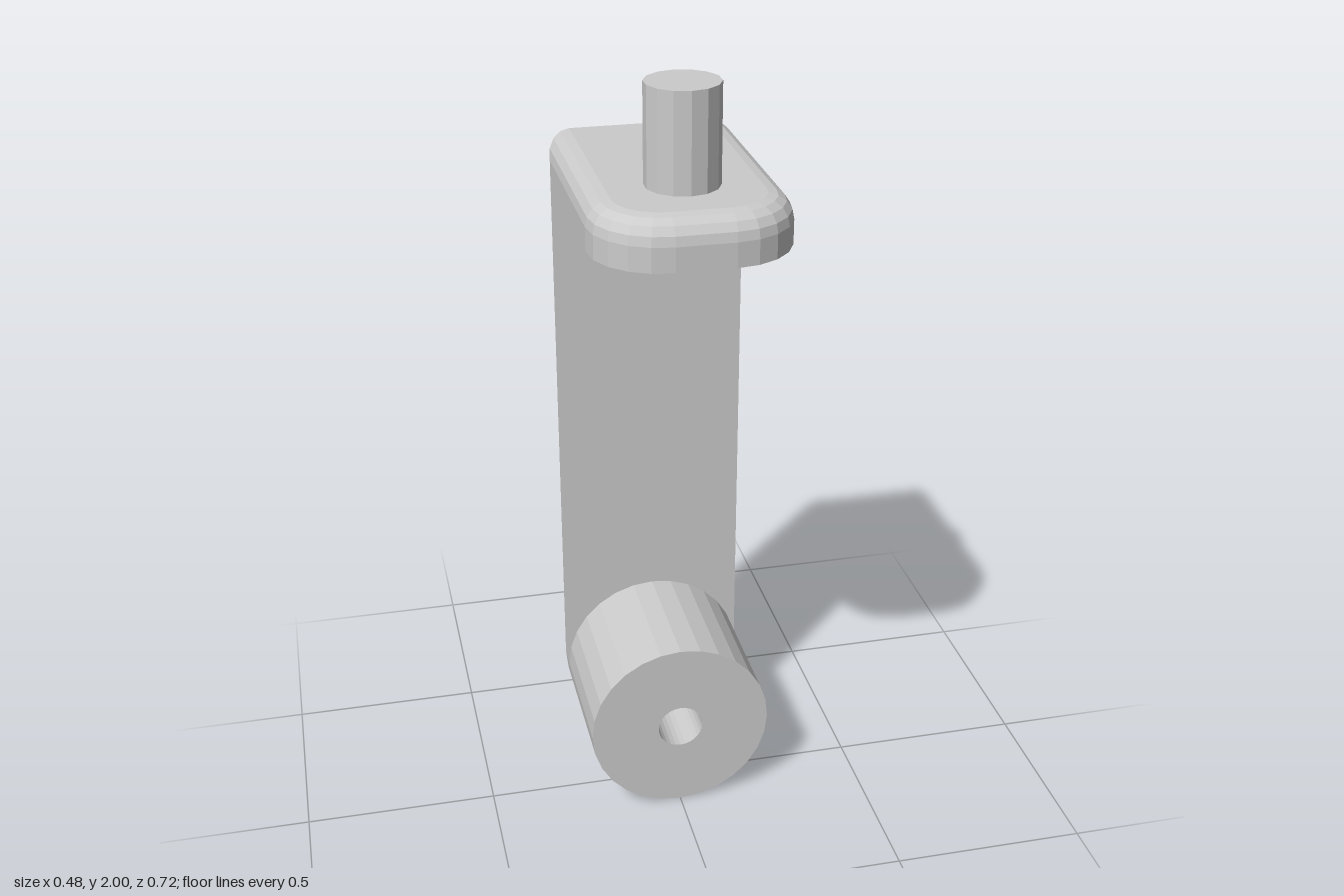
import * as THREE from 'three';

const HALF = 0.24, THICK = 0.12, FILLET = 0.06;
const INNER_Y = 1.64, INNER_Z = -0.24, BOSS_Y = 0.24, BORE = 0.06;

// Plate outline: open end at y = h (45 degree mitre), rounded corners at y = -length
function outline(length, radius, steps, h, inset) {
  const w = HALF - inset, r = radius - inset, l = length - inset;
  const pts = [new THREE.Vector2(-w, h)];
  for (const side of [-1, 1]) {
    const first = side === 1 && radius === HALF ? 1 : 0;
    for (let i = first; i <= steps; i++) {
      const a = Math.PI * (side < 0 ? 1 : 1.5) + (i / steps) * Math.PI / 2;
      pts.push(new THREE.Vector2(side * (w - r) + r * Math.cos(a), r - l + r * Math.sin(a)));
    }
  }
  pts.push(new THREE.Vector2(w, h));
  return pts;
}

// Plate with a filleted outer rim, mitred at its open end
function makePlate(name, length, radius, steps, holeY, material) {
  const group = new THREE.Group();
  group.name = name;
  const levels = [[0, 0]];
  for (let k = 0; k <= 4; k++) {
    const a = (k / 4) * Math.PI / 2;
    levels.push([THICK - FILLET + FILLET * Math.sin(a), FILLET * (1 - Math.cos(a))]);
  }
  const rings = levels.map(([h, inset]) => outline(length, radius, steps, h, inset));
  const n = rings[0].length, pos = [], index = [];
  rings.forEach((ring, k) => ring.forEach(p => pos.push(p.x, p.y, levels[k][0])));
  for (let k = 0; k < rings.length - 1; k++) {
    for (let i = 0; i < n - 1; i++) {
      const a = k * n + i, b = a + 1, c = b + n, d = a + n;
      index.push(a, b, c, a, c, d);
    }
  }
  const rim = new THREE.BufferGeometry();
  rim.setAttribute('position', new THREE.Float32BufferAttribute(pos, 3));
  rim.setIndex(index);
  rim.computeVertexNormals();
  const rimMesh = new THREE.Mesh(rim, material);
  rimMesh.name = name + 'Rim';
  group.add(rimMesh);

  // Flat inner and outer faces
  for (const outer of [false, true]) {
    const shape = new THREE.Shape(rings[outer ? rings.length - 1 : 0]);
    if (holeY !== null) {
      const hole = new THREE.Path();
      hole.absarc(0, holeY, BORE, 0, Math.PI * 2, true);
      shape.holes.push(hole);
    }
    const face = new THREE.ShapeGeometry(shape, 14);
    if (!outer) face.rotateY(Math.PI); // outline is symmetric in x
    face.translate(0, 0, outer ? THICK : 0);
    const mesh = new THREE.Mesh(face, material);
    mesh.name = name + (outer ? 'OuterFace' : 'InnerFace');
    group.add(mesh);
  }
  group.position.set(0, INNER_Y, INNER_Z);
  return group;
}

export function createModel() {
  const model = new THREE.Group();
  model.name = 'bracket';
  const material = new THREE.MeshStandardMaterial({ color: 0xcccccc, flatShading: true });

  const topPlate = makePlate('topPlate', 0.6, 0.17, 5, null, material);
  topPlate.rotation.x = -Math.PI / 2;
  model.add(topPlate);

  const backPlate = makePlate('backPlate', INNER_Y, HALF, 7, BOSS_Y - INNER_Y, material);
  backPlate.rotation.y = Math.PI;
  model.add(backPlate);

  // Boss with a bore running on through the back plate
  const profile = [[HALF, INNER_Z], [HALF, 0.12], [BORE, 0.12], [BORE, INNER_Z - THICK]];
  const bossGeometry = new THREE.LatheGeometry(profile.map(p => new THREE.Vector2(...p)), 28);
  bossGeometry.rotateX(Math.PI / 2);
  const boss = new THREE.Mesh(bossGeometry, material);
  boss.name = 'boss';
  boss.position.y = BOSS_Y;
  model.add(boss);

  // Pin standing on the top plate
  const pin = new THREE.Mesh(new THREE.CylinderGeometry(0.09, 0.09, 0.24, 14), material);
  pin.name = 'pin';
  pin.rotation.y = Math.PI;
  pin.position.set(0, 1.88, 0.12);
  model.add(pin);

  return model;
}
